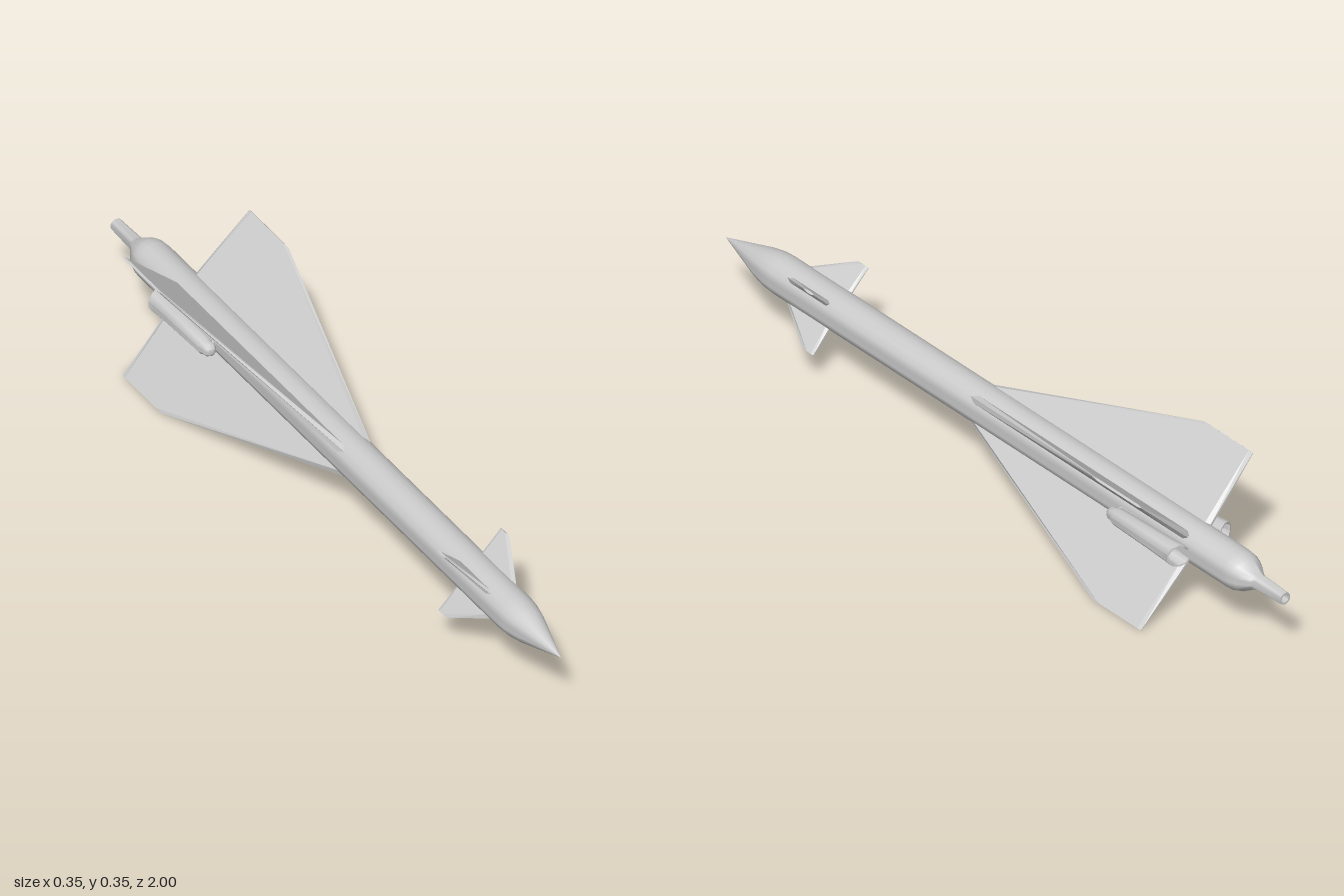
import * as THREE from 'three';
import { toCreasedNormals } from 'three/addons/utils/BufferGeometryUtils.js';

const AXIS_Y = 0.178;
const grey = new THREE.MeshStandardMaterial({ color: 0xcccccc });

// Turned part along z; profile is [radius, z] from rear to front
function turned(name, profile, sides, reshape) {
  const points = profile.map(([r, z]) => new THREE.Vector2(r, z));
  const geo = new THREE.LatheGeometry(points, sides);
  if (reshape) reshape(geo.attributes.position);
  geo.rotateX(Math.PI / 2);
  const mesh = new THREE.Mesh(toCreasedNormals(geo, 0.85), grey);
  mesh.name = name;
  return mesh;
}

// Tapered fin pointing along +x with bevelled leading and trailing edges
function fin(name, root, tip, bevel) {
  const section = ({ r, lead, trail, half }) => [
    [r, 0, lead], [r, half, lead - bevel * 2], [r, half, trail + bevel],
    [r, half * 0.3, trail], [r, -half * 0.3, trail],
    [r, -half, trail + bevel], [r, -half, lead - bevel * 2],
  ];
  const a = section(root), b = section(tip), n = a.length;
  const pos = [];
  for (let i = 0; i < n; i++) {
    const j = (i + 1) % n;
    pos.push(...a[i], ...a[j], ...b[j], ...a[i], ...b[j], ...b[i]);
  }
  for (let i = 1; i < n - 1; i++) {
    pos.push(...b[0], ...b[i], ...b[i + 1], ...a[0], ...a[i + 1], ...a[i]);
  }
  const geo = new THREE.BufferGeometry();
  geo.setAttribute('position', new THREE.Float32BufferAttribute(pos, 3));
  geo.computeVertexNormals();
  const mat = grey.clone();
  mat.side = THREE.DoubleSide;
  const mesh = new THREE.Mesh(geo, mat);
  mesh.name = name;
  return mesh;
}

export function createModel() {
  const model = new THREE.Group();
  model.name = 'missile';
  const airframe = new THREE.Group();
  airframe.name = 'airframe';
  airframe.position.y = AXIS_Y;
  model.add(airframe);

  // Body with hollow tail pipe, boat tail and pointed nose
  airframe.add(turned('body', [
    [0, -0.975], [0.011, -0.975], [0.011, -1], [0.016, -1], [0.019, -0.91],
    [0.023, -0.9], [0.043, -0.868], [0.049, -0.85], [0.051, -0.83],
    [0.051, 0.79], [0.049, 0.82], [0.041, 0.86], [0, 1],
  ], 18));

  // Four wings and four foreplanes in an X
  for (let i = 0; i < 4; i++) {
    const angle = Math.PI / 4 + i * Math.PI / 2;
    const wing = fin('wing' + (i + 1),
      { r: 0.042, lead: 0.11, trail: -0.695, half: 0.011 },
      { r: 0.247, lead: -0.51, trail: -0.685, half: 0.003 }, 0.012);
    const foreplane = fin('foreplane' + (i + 1),
      { r: 0.042, lead: 0.752, trail: 0.59, half: 0.007 },
      { r: 0.122, lead: 0.625, trail: 0.588, half: 0.003 }, 0.008);
    wing.rotation.z = foreplane.rotation.z = angle;
    airframe.add(wing, foreplane);
  }

  // Side pods: domed front, flared nozzle cut at a slant
  const slantNozzle = (p) => {
    for (let i = 0; i < p.count; i++) {
      if (p.getY(i) < -0.69) p.setY(i, p.getY(i) + p.getX(i) * 0.4);
    }
  };
  for (const [name, side] of [['leftPod', 1], ['rightPod', -1]]) {
    const pod = turned(name, [
      [0, -0.63], [0.018, -0.64], [0.026, -0.703], [0.03, -0.703],
      [0.028, -0.67], [0.026, -0.62], [0.0225, -0.485], [0.018, -0.473],
      [0.0165, -0.462], [0.011, -0.454], [0, -0.45],
    ], 10, slantNozzle);
    pod.position.x = side * 0.071;
    if (side < 0) pod.rotation.z = Math.PI;
    airframe.add(pod);

    // Short pylon joining the pod to the body
    const pylon = new THREE.Mesh(new THREE.BoxGeometry(0.03, 0.024, 0.16), grey);
    pylon.name = name + 'Pylon';
    pylon.position.set(side * 0.047, 0, -0.55);
    airframe.add(pylon);
  }
  return model;
}
